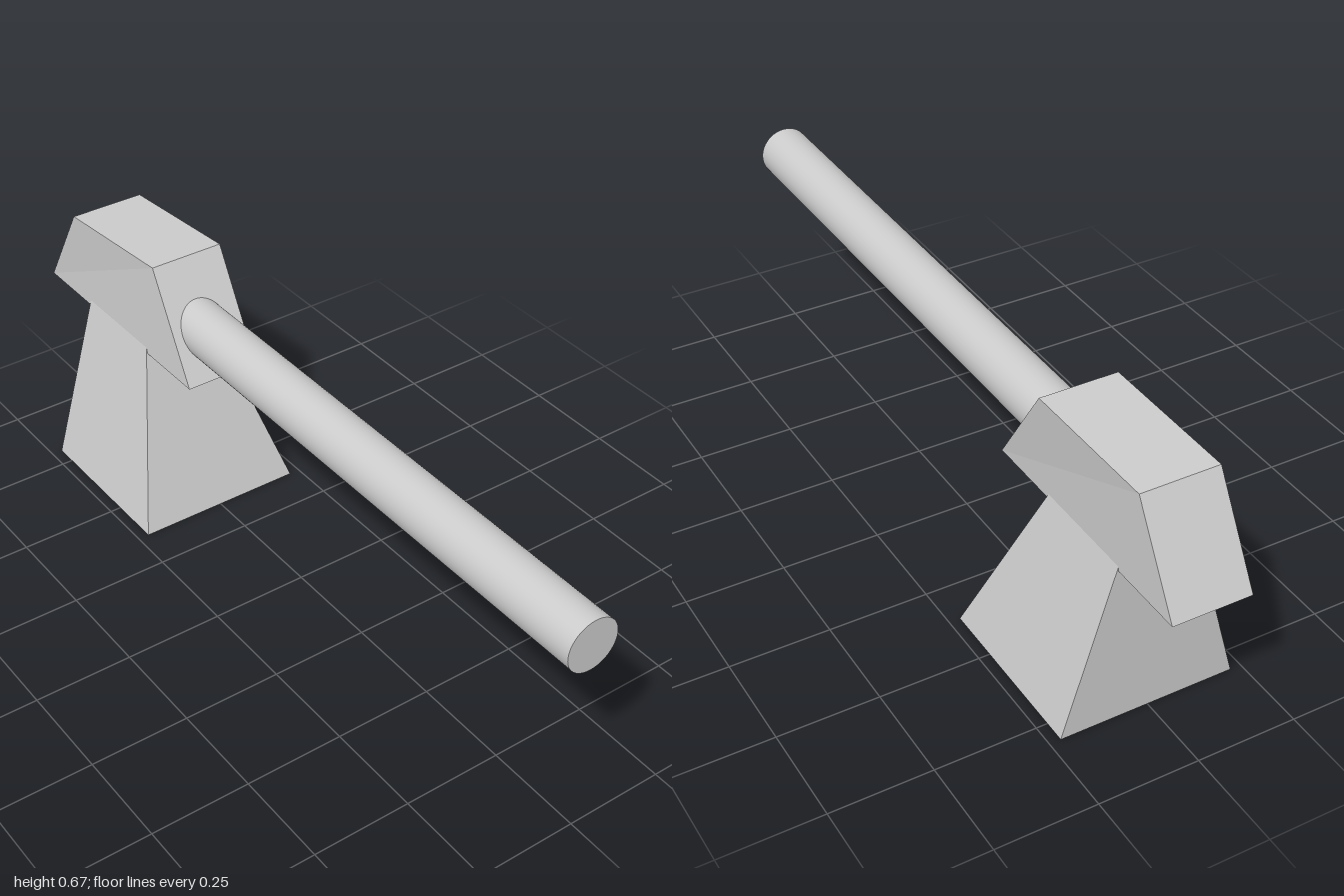
import * as THREE from 'three';

const grey = new THREE.MeshStandardMaterial({ color: 0xcccccc });
const flat = new THREE.MeshStandardMaterial({ color: 0xcccccc, flatShading: true });

// Six-sided block: corner(sx, sy, sz) gives the position of each corner, signs being -1 or 1
function block(name, corner) {
  const geometry = new THREE.BoxGeometry(2, 2, 2);
  const p = geometry.attributes.position;
  for (let i = 0; i < p.count; i++) {
    p.setXYZ(i, ...corner(Math.sign(p.getX(i)), Math.sign(p.getY(i)), Math.sign(p.getZ(i))));
  }
  geometry.computeVertexNormals();
  const mesh = new THREE.Mesh(geometry, flat);
  mesh.name = name;
  return mesh;
}

export function createModel() {
  const group = new THREE.Group();
  group.name = 'axe';

  // Flaring blade: upright at the back, sloping on the other sides, tucked into the head
  group.add(block('blade', (sx, sy, sz) => sy < 0
    ? [sx * 0.222, 0, sz > 0 ? -0.362 : -0.805]
    : [sx * 0.094, 0.445, sz > 0 ? -0.536 : -0.805]));

  // Tapered head, its upper front edge shifted slightly to the left
  group.add(block('head', (sx, sy, sz) => {
    if (sy < 0) return [sx * 0.098, 0.42, sz > 0 ? -0.333 : -1];
    return sz > 0 ? [sx * 0.098 + 0.016, 0.674, -0.507] : [sx * 0.098, 0.657, -0.86];
  }));

  // Round handle running forward from inside the head
  const back = -0.6, front = 1;
  const handle = new THREE.Mesh(
    new THREE.CylinderGeometry(0.067, 0.067, front - back, 48).rotateX(Math.PI / 2), grey);
  handle.name = 'handle';
  handle.position.set(0, 0.52, (front + back) / 2);
  group.add(handle);

  return group;
}
